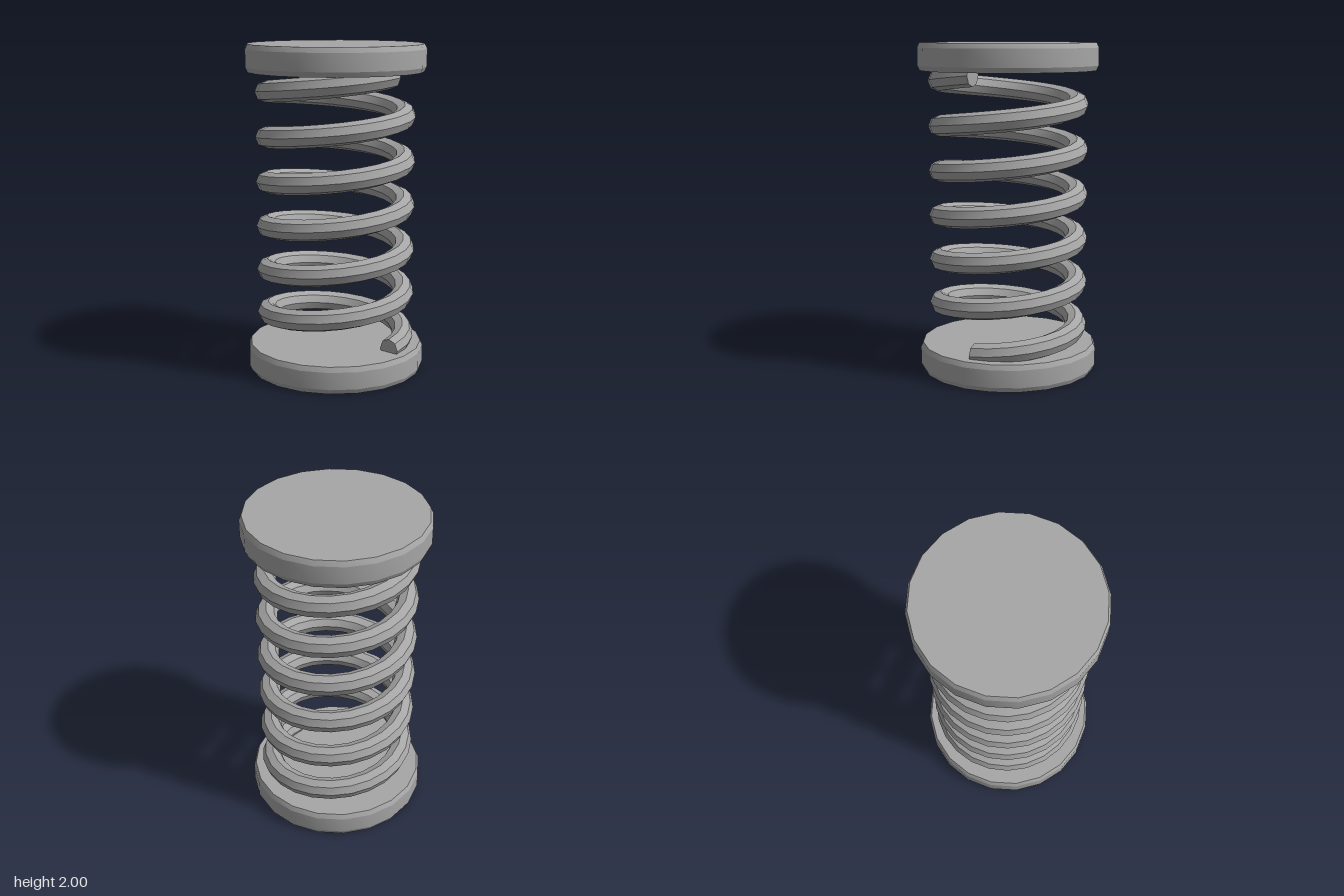
import * as THREE from 'three';
import { toCreasedNormals } from 'three/addons/utils/BufferGeometryUtils.js';

const CREASE = 0.4;

// Round end plate with small bevels, 20 sides
function plateGeometry(height, radius, bevel) {
  const profile = [
    [0, 0], [radius - bevel, 0], [radius, 0.03],
    [radius, height - 0.03], [radius - bevel, height], [0, height],
  ].map(([x, y]) => new THREE.Vector2(x, y));
  return toCreasedNormals(new THREE.LatheGeometry(profile, 20), CREASE);
}

// Octagonal wire swept along a helix, with closed ends
function coilGeometry({ radius, wire, y0, y1, turns, perTurn, sides }) {
  const steps = turns * perTurn;
  const positions = [];
  const index = [];
  for (let i = 0; i <= steps; i++) {
    const t = (i / perTurn) * Math.PI * 2;
    const y = y0 + ((y1 - y0) * i) / steps;
    for (let j = 0; j < sides; j++) {
      const b = (j / sides) * Math.PI * 2;
      const d = radius + wire * Math.cos(b);
      positions.push(d * Math.cos(t), y + wire * Math.sin(b), -d * Math.sin(t));
    }
  }
  for (let i = 0; i < steps; i++) {
    for (let j = 0; j < sides; j++) {
      const k = (j + 1) % sides;
      const a = i * sides + j, b = (i + 1) * sides + j;
      const c = (i + 1) * sides + k, d = i * sides + k;
      index.push(a, b, c, a, c, d);
    }
  }
  // End caps
  const last = steps * sides;
  for (let j = 1; j < sides - 1; j++) {
    index.push(0, j, j + 1);
    index.push(last, last + j + 1, last + j);
  }
  const geometry = new THREE.BufferGeometry();
  geometry.setAttribute('position', new THREE.Float32BufferAttribute(positions, 3));
  geometry.setIndex(index);
  return toCreasedNormals(geometry, CREASE);
}

export function createModel() {
  const group = new THREE.Group();
  group.name = 'coilSpring';
  const steel = new THREE.MeshStandardMaterial({ color: 0xa6a6a6 });
  steel.name = 'greySteel';

  const add = (name, geometry, y = 0) => {
    const mesh = new THREE.Mesh(geometry, steel);
    mesh.name = name;
    mesh.position.y = y;
    group.add(mesh);
  };

  // Plates at both ends
  const height = 0.165;
  const plate = plateGeometry(height, 0.545, 0.014);
  add('bottomPlate', plate);
  add('topPlate', plate, 2 - height);

  // Six-turn coil between the plates
  add('coil', coilGeometry({
    radius: 0.42, wire: 0.065, y0: 0.182, y1: 1.818, turns: 6, perTurn: 24, sides: 8,
  }));

  return group;
}
